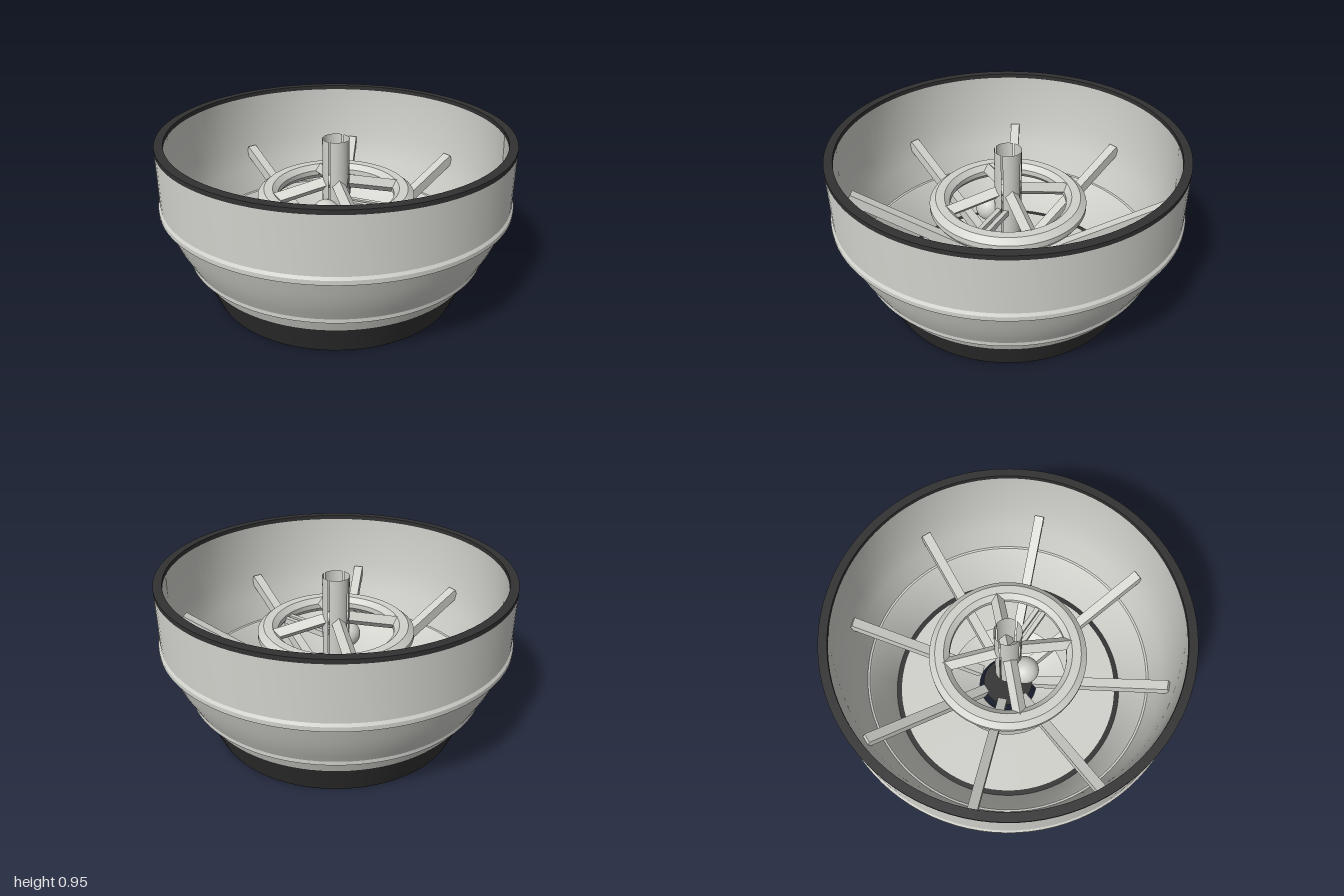
import * as THREE from 'three';
import { toCreasedNormals } from 'three/addons/utils/BufferGeometryUtils.js';

const material = (name, color) => {
  const m = new THREE.MeshStandardMaterial({ color, side: THREE.DoubleSide });
  m.name = name;
  return m;
};

export function createModel() {
  const model = new THREE.Group();
  model.name = 'openBowlWithHub';
  const grey = material('warm grey', 0xd1d1cc);
  const dark = material('charcoal', 0x323232);

  const add = (name, geometry, mat, parent = model) => {
    const mesh = new THREE.Mesh(geometry, mat);
    mesh.name = name;
    parent.add(mesh);
    return mesh;
  };

  // Revolved part from [radius, height] points, with sharp edges kept
  const turned = (name, points, mat, segments = 96) => add(name,
    toCreasedNormals(new THREE.LatheGeometry(
      points.map(([r, y]) => new THREE.Vector2(r, y)), segments), 0.35), mat);

  // Straight bar between two points
  const beam = (name, from, to, width, height, roll, parent) => {
    const a = new THREE.Vector3(...from), b = new THREE.Vector3(...to);
    const mesh = add(name, new THREE.BoxGeometry(width, height, a.distanceTo(b)), grey, parent);
    mesh.position.copy(a).add(b).multiplyScalar(0.5);
    mesh.lookAt(b);
    mesh.rotateZ(roll);
  };
  const polar = (r, y, angle) => [r * Math.cos(angle), y, r * Math.sin(angle)];

  const group = (name) => {
    const g = new THREE.Group();
    g.name = name;
    model.add(g);
    return g;
  };

  // Bowl wall: outside with two raised bands, then inside with a narrow ledge
  turned('outerWall', [
    [0.79, 0.18], [0.827, 0.27], [0.857, 0.27], [0.857, 0.293], [0.885, 0.345], [0.918, 0.41],
    [0.95, 0.49], [0.98, 0.575], [1.0, 0.575], [1.0, 0.6], [0.99, 0.615], [0.99, 0.925],
  ], grey);
  turned('innerWall', [
    [0.942, 0.925], [0.94, 0.61], [0.9, 0.45], [0.852, 0.3], [0.84, 0.297], [0.83, 0.285], [0.715, 0.022],
  ], grey);

  // Dark rim and dark base
  turned('rim', [[0.99, 0.925], [0.99, 0.95], [0.942, 0.95], [0.942, 0.925]], dark);
  turned('base', [[0.685, 0], [0.715, 0], [0.79, 0.18]], dark);
  turned('baseLip', [[0.72, 0.022], [0.685, 0.022], [0.685, 0]], dark);

  // Floor with a central opening and its collar
  turned('floor', [[0.3, 0.006], [0.685, 0.006], [0.685, 0.022], [0.3, 0.022], [0.3, 0.006]], grey);
  turned('floorCollar', [[0.3, 0.006], [0.27, 0.075]], grey, 64);

  // Shallow funnel below the hub ring
  turned('funnel', [[0.36, 0.125], [0.27, 0.075], [0.18, 0.025]], grey, 64);

  // Hub ring with bevelled edges
  turned('hubRing', [
    [0.36, 0.53], [0.43, 0.53], [0.45, 0.56], [0.45, 0.59], [0.415, 0.62],
    [0.365, 0.62], [0.335, 0.59], [0.335, 0.56], [0.36, 0.53],
  ], grey);

  // Eight spokes rising from the hub to the wall
  const spokes = group('spokes');
  for (let i = 0; i < 8; i++) {
    const a = (i + 0.5) * Math.PI / 4;
    beam('spoke', polar(0.17, 0.18, a), polar(0.93, 0.57, a), 0.056, 0.065, 0, spokes);
  }

  // Dark hub core in the mouth of the funnel
  const core = add('hubCore', new THREE.CylinderGeometry(0.155, 0.1, 0.06, 40), dark);
  core.position.y = 0.05;

  // Four ridged arms from the post down to the hub ring
  const arms = group('crossArms');
  for (let i = 0; i < 4; i++) {
    const a = (i + 0.5) * Math.PI / 2;
    beam('crossArm', [0, 0.665, 0], polar(0.395, 0.575, a), 0.056, 0.056, Math.PI / 4, arms);
  }

  // Hollow post made of four curved staves
  const post = group('post');
  for (let i = 0; i < 4; i++) {
    const stave = add('postStave', new THREE.CylinderGeometry(0.077, 0.077, 0.61, 12, 1, true,
      i * Math.PI / 2 + 0.06, Math.PI / 2 - 0.12), grey, post);
    stave.position.y = 0.61;
  }

  // Side lever of two rails, and a round knob at the front
  const lever = group('sideLever');
  for (const z of [-0.022, 0.022])
    beam('leverRail', [0.06, 0.54, z], [0.35, 0.56, z], 0.026, 0.035, 0, lever);
  beam('leverWeb', [0.06, 0.525, 0], [0.35, 0.545, 0], 0.03, 0.015, 0, lever);
  add('knob', new THREE.SphereGeometry(0.08, 32, 20), grey).position.set(0, 0.5, 0.12);

  return model;
}
